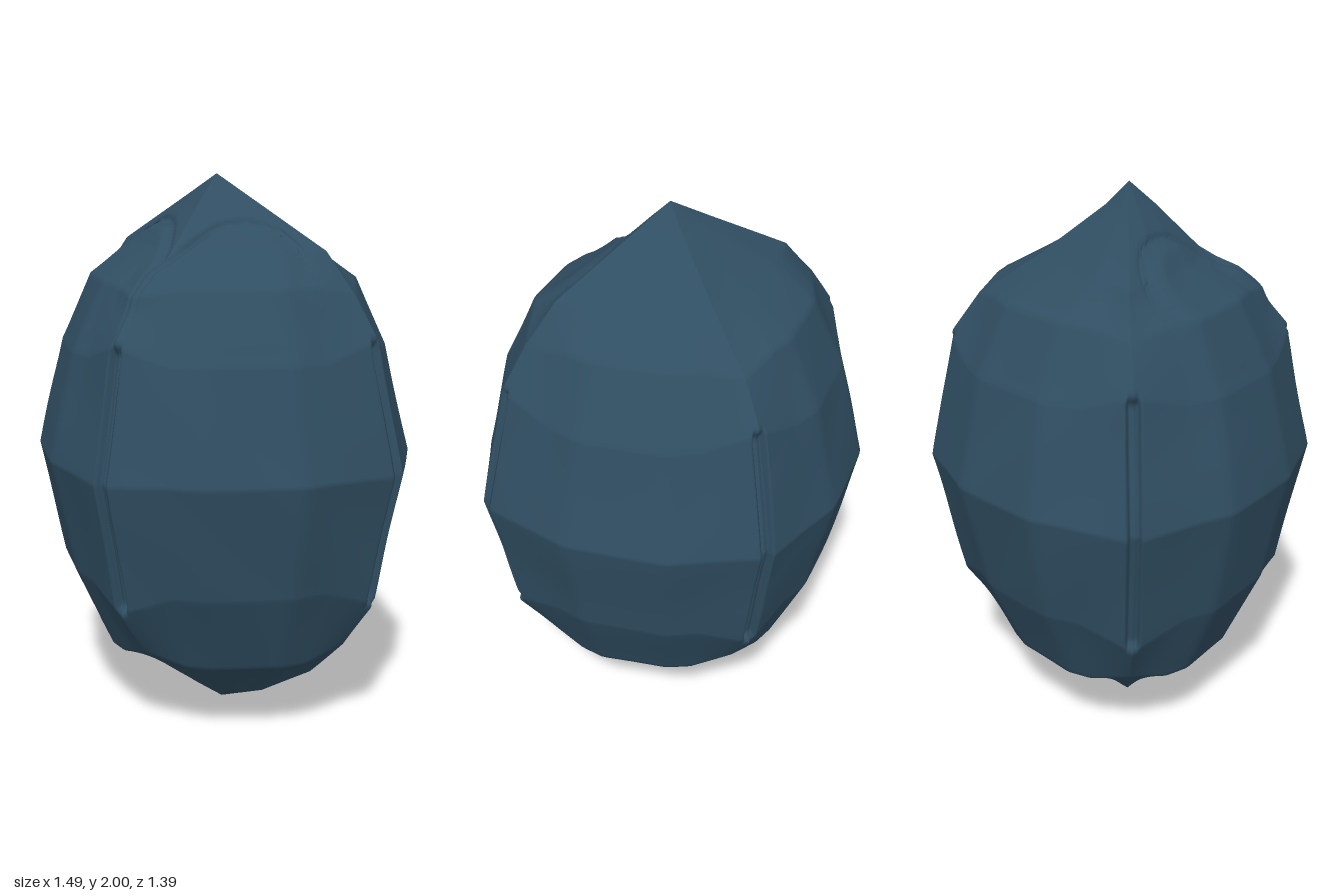
import * as THREE from 'three';

// Rings: y, half width, front z, back z, centre z, zigzag in y, sharpness of the side ridges
const RINGS = [
  [0, 0, 0, 0, 0, 0, 0.5],
  [0.07, 0.19, 0.1, 0.1, 0, 0, 0.5],
  [0.2, 0.4, 0.28, 0.28, 0, 0.02, 0.4],
  [0.34, 0.54, 0.47, 0.47, 0, -0.05, 0.2],
  [0.52, 0.66, 0.605, 0.605, 0, 0.07, 0],
  [1.0, 0.755, 0.705, 0.705, 0, 0.01, 0],
  [1.46, 0.65, 0.61, 0.61, 0, -0.06, 0],
  [1.61, 0.555, 0.49, 0.5, 0, 0.03, 0.3],
  [1.75, 0.44, 0.29, 0.28, 0, 0.0, 0.7],
  [1.92, 0.14, 0.12, 0.05, 0.02, 0, 1],
  [2.0, 0, 0.03, -0.03, 0.03, 0, 1],
];
// Corner points of a quarter cross-section, full and ridged
const FULL = [[1, 0], [0.79, 0.49], [0.44, 0.82], [0, 1]];
const RIDGED = [[1, 0], [0.72, 0.36], [0.36, 0.72], [0, 1]];
const { lerp, clamp, smoothstep } = THREE.MathUtils;

// Brow crease, seen from the front, mirrored in x
const BROW = new THREE.CatmullRomCurve3(
  [[0.015, 1.71], [0.045, 1.76], [0.1, 1.82], [0.2, 1.83], [0.35, 1.76], [0.5, 1.6]]
    .map(([x, y]) => new THREE.Vector3(x, y, 0))).getPoints(48);

// Relief of the brows and the small beak below them
function faceRelief(x, y) {
  const ax = Math.abs(x);
  let d = 9, near = BROW[0];
  for (const p of BROW) {
    const e = Math.hypot(p.x - ax, p.y - y);
    if (e < d) { d = e; near = p; }
  }
  const fade = 1 - smoothstep(ax, 0.36, 0.52);
  let h = -0.022 * Math.exp(-((d / 0.014) ** 2)) * fade;
  if (y < near.y && ax > 0.02) h += 0.022 * Math.exp(-d / 0.09) * smoothstep(d, 0, 0.02) * fade;
  const beak = Math.max(0, 1 - ax / 0.1) * smoothstep(y, 1.54, 1.67) * (1 - smoothstep(y, 1.68, 1.72));
  return h + 0.035 * beak;
}

// Point on the shell: ring k plus fraction t, and s from 0 to 12 round the section
function shellPoint(k, t, s) {
  const q = Math.floor(s / 3) % 4, l = s % 3;
  const u = q % 2 ? 3 - l : l;
  const sx = q === 0 || q === 3 ? 1 : -1, front = q < 2;
  const [y0, a, f, b, zc, zig, ridge] = RINGS[k].map((v, i) => lerp(v, RINGS[k + 1][i], t));
  const c = Math.min(2, Math.floor(u)), w = u - c;
  const corner = (i, j) => lerp(FULL[i][j], RIDGED[i][j], ridge);
  let x = sx * a * lerp(corner(c, 0), corner(c + 1, 0), w);
  const pz = lerp(corner(c, 1), corner(c + 1, 1), w);
  let z = front ? zc + (f - zc) * pz : zc - (b + zc) * pz;
  const y = y0 + zig * clamp(Math.min(u, 3 - u) * 1.6, 0, 1);

  // Soft worn unevenness
  const wear = 1 + 0.006 * Math.sin(9 * x + 5 * y) * Math.sin(8 * z - 7 * y);
  x *= wear;
  z = zc + (z - zc) * wear;

  if (front && y > 1.45 && y < 1.95) z += faceRelief(x, y) * smoothstep(pz, 0, 0.15);

  // Four upright grooves
  const span = smoothstep(y, 0.5, 0.56) * (1 - smoothstep(y, 1.42, 1.48));
  const cut = (o) => 0.035 * span * (1 - smoothstep(Math.abs(o), 0.014, 0.026));
  if (u > 2) z -= (front ? 1 : -1) * cut(x);
  if (u < 1) x -= sx * cut(z);
  return [x, y, z];
}

function shellGeometry() {
  // Samples round the section, closest together at the grooves
  const around = [], n = 60;
  for (let q = 0; q < 4; q++) {
    for (let i = 0; i < n; i++) {
      const t = i / n;
      around.push(3 * (q + t - 0.8 * Math.sin(2 * Math.PI * t) / (2 * Math.PI)));
    }
  }
  const pos = [], index = [];
  let rows = 0;
  for (let k = 0; k < RINGS.length - 1; k++) {
    const steps = Math.ceil((RINGS[k + 1][0] - RINGS[k][0]) / 0.01);
    const last = k === RINGS.length - 2 ? 1 : 0;
    for (let i = 0; i < steps + last; i++, rows++) {
      for (const s of around) pos.push(...shellPoint(k, i / steps, s));
    }
  }
  const m = around.length;
  for (let j = 0; j < rows - 1; j++) {
    for (let i = 0; i < m; i++) {
      const a = j * m + i, c = j * m + (i + 1) % m;
      index.push(a, a + m, c, c, a + m, c + m);
    }
  }
  const g = new THREE.BufferGeometry();
  g.setAttribute('position', new THREE.Float32BufferAttribute(pos, 3));
  g.setIndex(index);
  g.computeVertexNormals();
  return g;
}

export function createModel() {
  const slate = new THREE.MeshStandardMaterial({ color: 0x304e62 });
  slate.name = 'slate blue';
  const shell = new THREE.Mesh(shellGeometry(), slate);
  shell.name = 'podShell';
  const group = new THREE.Group();
  group.name = 'facetedPod';
  group.add(shell);
  return group;
}
